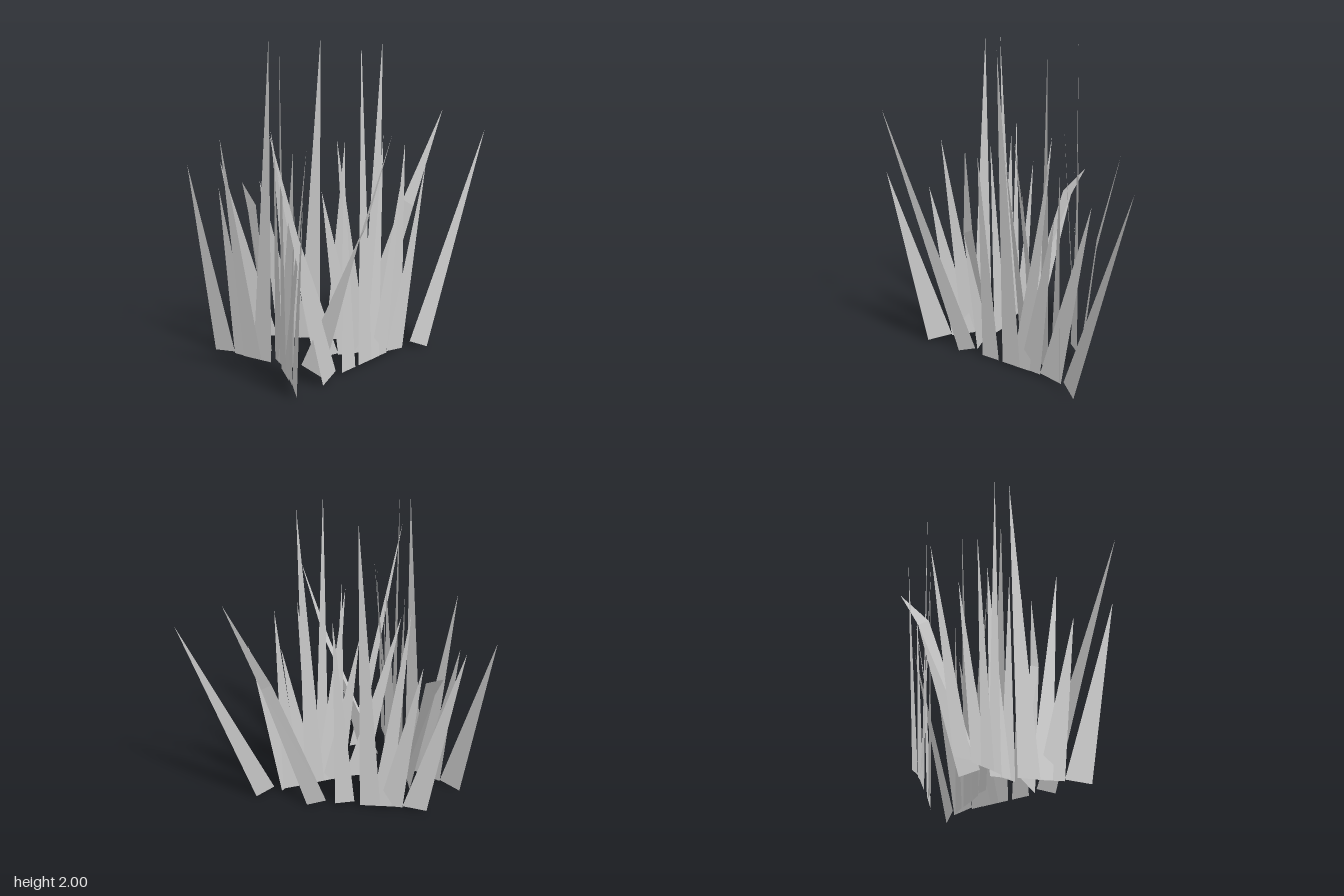
import * as THREE from 'three';

const material = new THREE.MeshStandardMaterial({
  color: 0xcccccc, side: THREE.DoubleSide, flatShading: true,
});

// Flat blade: two base corners, optional pair of middle corners, then the tip
function blade(name, a, b, tip, mid) {
  const tris = mid
    ? [a, b, mid[1], a, mid[1], mid[0], mid[0], mid[1], tip]
    : [a, b, tip];
  const geometry = new THREE.BufferGeometry();
  geometry.setAttribute('position', new THREE.Float32BufferAttribute(tris.flat(), 3));
  geometry.computeVertexNormals();
  const mesh = new THREE.Mesh(geometry, material);
  mesh.name = name;
  return mesh;
}

// Point at distance d along the ground line from p to q, at height y
function along(p, q, d, y) {
  const len = Math.hypot(q[0] - p[0], q[1] - p[1]);
  const t = d / len;
  return [p[0] + (q[0] - p[0]) * t, y, p[1] + (q[1] - p[1]) * t];
}

const raise = ([x, z], y) => [x, y, z];

// Tall tufts: [corner, tall tip, short tip] as ground positions [x, z]
const tallTufts = [
  [[-0.43, -0.23], [-0.40, -0.02], [-0.51, -0.33]],
  [[0.01, -0.25], [0.14, -0.08], [-0.10, -0.29]],
  [[-0.55, 0.26], [-0.43, 0.09], [-0.55, 0.40]],
  [[0.03, 0.25], [0.21, 0.35], [-0.10, 0.25]],
  [[0.12, 0.42], [-0.09, 0.42], [0.23, 0.35]],
];

// Low tufts: [shared base corner, outer tip]
const lowTufts = [
  [[0.20, 0.42], [0.57, 0.44]],
  [[-0.59, 0.32], [-0.82, 0.61]],
  [[-0.43, -0.31], [-0.46, -0.68]],
  [[-0.03, -0.31], [-0.23, -0.62]],
  [[-0.03, 0.21], [-0.36, 0.00]],
];

// Spreading tufts: inner and outer base corners, upright tip, leaning tip, bend
const spreadingTufts = [
  { inner: [0.28, 0.09], outer: [0.35, 0.20], upright: [0.23, 0.05], lean: [0.75, 1.53, 0.44],
    bend: [[0.52, 0.95, 0.30], [0.555, 0.91, 0.36]] },
  { inner: [0.40, 0.46], outer: [0.51, 0.52], upright: [0.35, 0.43], lean: [0.95, 1.40, 0.64] },
  { inner: [-0.37, 0.20], outer: [-0.35, 0.35], upright: [-0.37, 0.14], lean: [-0.13, 1.48, 0.68],
    bend: [[-0.20, 0.93, 0.55], [-0.26, 0.90, 0.56]] },
  { inner: [-0.31, 0.42], outer: [-0.44, 0.43], upright: [-0.25, 0.42], lean: [-0.95, 1.56, 0.49] },
  { inner: [-0.31, -0.10], outer: [-0.24, -0.20], upright: [-0.34, -0.04], lean: [-0.10, 1.05, -0.55],
    bend: [[-0.16, 0.93, -0.37], [-0.15, 0.88, -0.45]] },
];

export function createModel() {
  const model = new THREE.Group();
  model.name = 'grassClump';

  const addTuft = (name, blades) => {
    const tuft = new THREE.Group();
    tuft.name = name;
    tuft.add(...blades);
    model.add(tuft);
  };

  tallTufts.forEach(([k, tall, short]) => addTuft('tallTuft', [
    blade('tallBlade', along(k, tall, 0.075, 0.02), along(k, tall, 0.21, 0.02), raise(tall, 2)),
    blade('shortBlade', raise(k, 0.02), along(k, tall, 0.135, 0.02), raise(short, 1.41)),
  ]));

  // The two blades stand side by side, both leaning the same way
  lowTufts.forEach(([n, far]) => addTuft('lowTuft', [
    blade('outerBlade', along(n, far, 0, 0.03), along(n, far, 0.16, 0.01), raise(far, 1.2)),
    blade('innerBlade', along(n, far, -0.16, 0.02), raise(n, 0.02), along(n, far, 0.11, 1.08)),
  ]));

  // The upright blade stands a little apart, beyond the inner corner of the leaning one
  spreadingTufts.forEach(({ inner, outer, upright, lean, bend }) => addTuft('spreadingTuft', [
    blade('leaningBlade', raise(inner, 0.05), raise(outer, 0), lean, bend),
    blade('uprightBlade', along(inner, upright, 0.06, 0.02), along(inner, upright, 0.19, 0.02),
      raise(upright, 1.36)),
  ]));

  return model;
}
